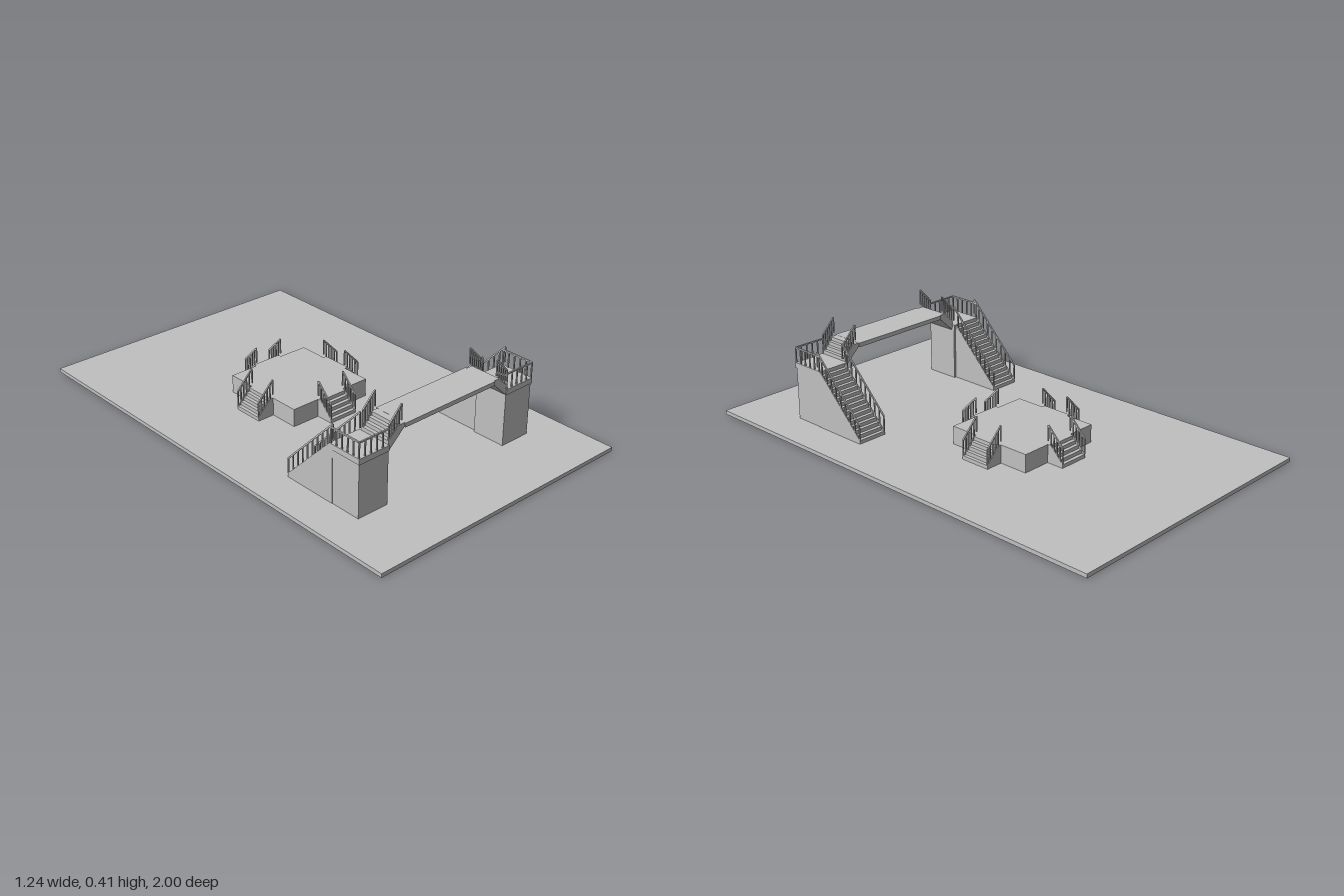
import * as THREE from 'three';

const stone = new THREE.MeshStandardMaterial({ color: 0xc0c0c0 });
stone.name = 'light grey';

const RISE = 0.0156, RUN = 0.0154, RAIL_H = 0.066, BAR = 0.005;
const GROUND = 0.017, DECK = 0.267;

function add(parent, name, geometry) {
  const mesh = new THREE.Mesh(geometry, stone);
  mesh.name = name;
  parent.add(mesh);
  return mesh;
}

// Box given by its minimum and maximum corners
function block(parent, name, x0, x1, y0, y1, z0, z1) {
  add(parent, name, new THREE.BoxGeometry(x1 - x0, y1 - y0, z1 - z0))
    .position.set((x0 + x1) / 2, (y0 + y1) / 2, (z0 + z1) / 2);
}

// Square bar between two points
function bar(parent, name, a, b, t = BAR) {
  const dir = b.clone().sub(a);
  const mesh = add(parent, name, new THREE.BoxGeometry(dir.length(), t, t));
  mesh.position.copy(a).add(b).multiplyScalar(0.5);
  mesh.quaternion.setFromUnitVectors(new THREE.Vector3(1, 0, 0), dir.normalize());
}

// Handrail with evenly spaced balusters; a and b lie at foot level
function railing(parent, a, b, gaps) {
  const up = new THREE.Vector3(0, RAIL_H, 0);
  const rail = new THREE.Group();
  rail.name = 'railing';
  parent.add(rail);
  bar(rail, 'handrail', a.clone().add(up), b.clone().add(up), 0.006);
  for (let i = 0; i <= gaps; i++) {
    const p = a.clone().lerp(b, i / gaps);
    bar(rail, 'baluster', p, p.clone().add(up), BAR);
  }
}

// Profile extruded along z, centred on z = offset
function profile(parent, name, points, depth, offset = 0) {
  const shape = new THREE.Shape(points.map(p => new THREE.Vector2(p[0], p[1])));
  const g = new THREE.ExtrudeGeometry(shape, { depth, bevelEnabled: false });
  g.translate(0, 0, offset - depth / 2);
  add(parent, name, g);
}

// Flight climbing along local +x; underside points run from top back to start
function stair(parent, name, { rises, width, underside, gaps }) {
  const flight = new THREE.Group();
  flight.name = name;
  parent.add(flight);
  const steps = [[0, 0]];
  for (let i = 0; i < rises; i++) {
    steps.push([i * RUN, (i + 1) * RISE], [(i + 1) * RUN, (i + 1) * RISE]);
  }
  profile(flight, 'steps', [...steps, ...underside], width - 0.006);
  const endX = rises * RUN, topY = rises * RISE;
  const nose = (rises - 1) * RUN;
  for (const s of [-1, 1]) {
    const z = s * (width / 2 - 0.002);
    profile(flight, 'stringer', [[0, 0], [0, RISE], [nose, topY], [endX, topY], ...underside], 0.004, z);
    railing(flight, new THREE.Vector3(0.002, RISE, z), new THREE.Vector3(endX, topY + RISE, z), gaps);
  }
  return flight;
}

export function createModel() {
  const model = new THREE.Group();
  model.name = 'footbridgeAndStage';

  block(model, 'ground', -0.622, 0.622, 0, GROUND, -1, 1);

  // Square stage with a short flight on every side
  const stage = new THREE.Group();
  stage.name = 'stage';
  stage.position.z = -0.14;
  model.add(stage);
  block(stage, 'stagePlatform', -0.196, 0.196, GROUND, 0.095, -0.196, 0.196);
  for (let k = 0; k < 4; k++) {
    const a = k * Math.PI / 2, reach = 0.196 + 5 * RUN;
    const s = stair(stage, 'stageStairs', { rises: 5, width: 0.135, underside: [[5 * RUN, 0]], gaps: 5 });
    s.rotation.y = a;
    s.position.set(-Math.cos(a) * reach, GROUND, Math.sin(a) * reach);
  }

  // Towers with long stairs, railings and short flights up to the bridge
  for (const s of [-1, 1]) {
    const tower = new THREE.Group();
    tower.name = s > 0 ? 'leftTower' : 'rightTower';
    model.add(tower);
    const span = (a, b) => [Math.min(s * a, s * b), Math.max(s * a, s * b)];
    block(tower, 'towerBlock', ...span(0.312, 0.456), GROUND, 0.243, 0.559, 0.708);
    block(tower, 'towerDeck', ...span(0.312, 0.459), 0.243, DECK, 0.556, 0.712);

    const long = stair(tower, 'longStairs', { rises: 16, width: 0.136, underside: [[16 * RUN, 0]], gaps: 9 });
    long.rotation.y = -Math.PI / 2;
    long.position.set(s * 0.39, GROUND, 0.325);

    const short = stair(tower, 'bridgeStairs', {
      rises: 4, width: 0.14, gaps: 5,
      underside: [[0.077, 4 * RISE], [0.077, 0.046], [0.002, -0.024]],
    });
    short.rotation.y = s > 0 ? Math.PI : 0;
    short.position.set(s * 0.313, DECK, 0.639);

    const corner = new THREE.Vector3(s * 0.456, DECK, 0.708);
    railing(tower, corner, new THREE.Vector3(s * 0.313, DECK, 0.708), 5);
    railing(tower, corner, new THREE.Vector3(s * 0.456, DECK, 0.562), 5);
  }

  block(model, 'bridgeDeck', -0.237, 0.237, 0.312, 0.33, 0.562, 0.715);
  return model;
}
